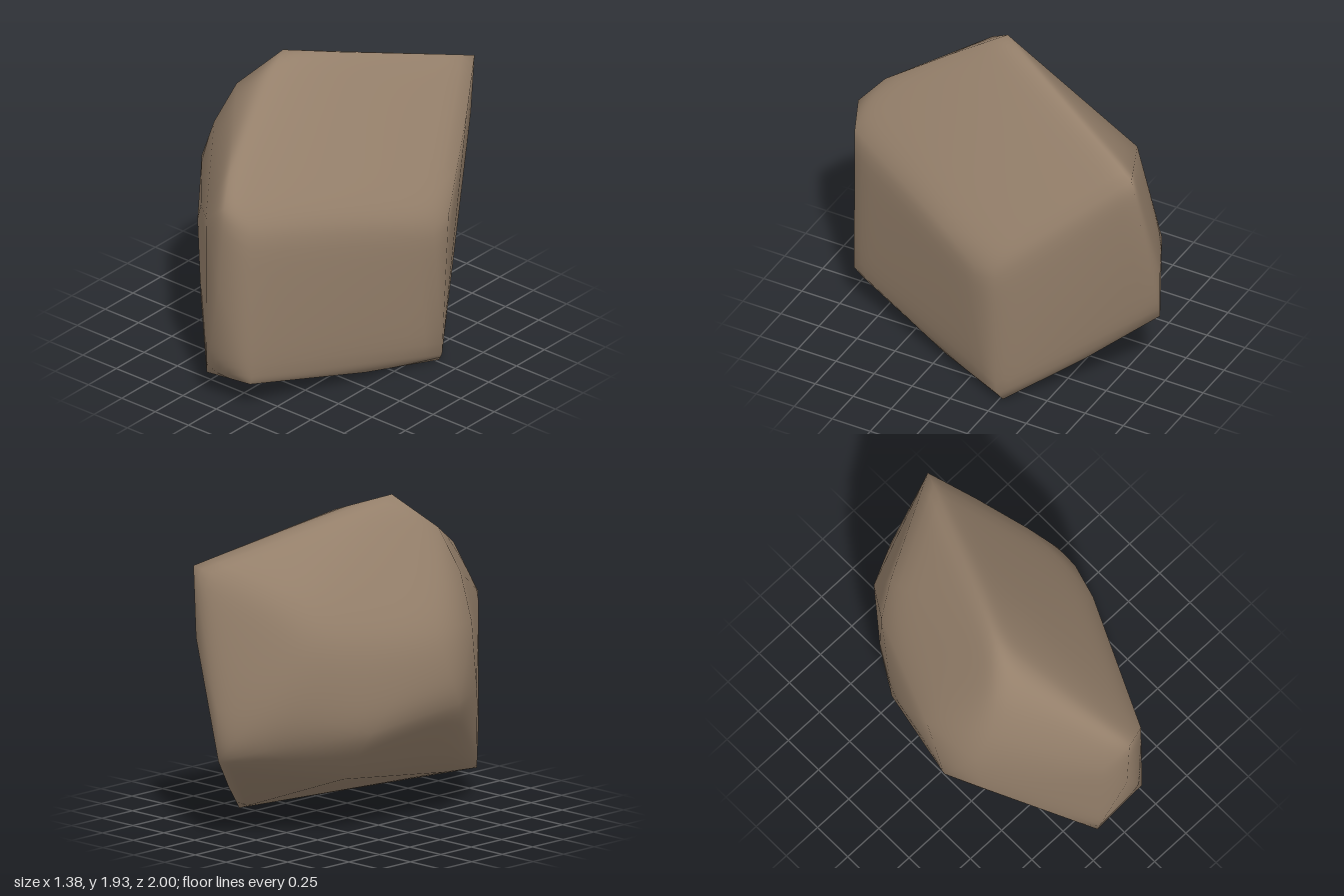
import * as THREE from 'three';
import { ConvexGeometry } from 'three/addons/geometries/ConvexGeometry.js';

// Corners of the boulder, grouped by ridge
const ridges = [
  // crest, from the rear corner over the peak to the brow
  [[0.31, 1.61, -0.95], [0.1, 1.77, -0.4], [-0.03, 1.86, -0.13], [-0.21, 1.93, 0.15], [-0.12, 1.73, 0.48], [-0.02, 1.49, 0.85], [0.04, 1.77, 0.1], [0.04, 1.57, 0.6]],
  // blunt front edge
  [[0.05, 1.33, 0.99], [0.2, 1.24, 0.93], [0.02, 0.8, 1], [0.21, 0.26, 0.93], [0.17, 0.18, 0.9], [-0.14, 0.16, 0.92], [-0.12, 1.2, 0.95]],
  // +x edge, from shoulder to foot
  [[0.69, 0.98, -0.26], [0.69, 0.96, -0.12], [0.6, 1.08, 0.12], [0.65, 0.06, -0.25], [0.61, 0, -0.27], [0.45, 0.06, 0.2]],
  // rear edge
  [[0.6, 1.17, -0.42], [0.46, 1.38, -0.7], [0.25, 1.2, -0.99], [0.06, 0.8, -1], [0.06, 0.5, -1], [0.32, 0.24, -0.65], [-0.2, 0.85, -0.87], [-0.15, 0.57, -0.85]],
  // -x side
  [[-0.25, 1.4, -0.68], [-0.4, 1.2, -0.6], [-0.42, 0.76, -0.59], [-0.55, 0.66, -0.36], [-0.66, 1.2, 0.05], [-0.69, 0.76, 0.22], [-0.6, 0.8, 0.45], [-0.61, 1.2, 0.4], [-0.5, 1.47, 0.42], [-0.39, 1.73, 0.35], [-0.35, 1.1, 0.72], [-0.35, 0.5, 0.72]],
  // underside
  [[-0.2, 0.2, 0.6], [-0.37, 0.35, 0.35], [-0.58, 0.58, 0.32], [-0.3, 0.34, -0.34], [-0.1, 0.35, -0.5]],
];

// Triangles of the faceted block
function facets() {
  const points = ridges.flat().map((p) => new THREE.Vector3(...p));
  const pos = new ConvexGeometry(points).attributes.position;
  const list = [];
  for (let i = 0; i < pos.count; i += 3) {
    const corners = [0, 1, 2].map((k) => new THREE.Vector3().fromBufferAttribute(pos, i + k));
    const tri = new THREE.Triangle(...corners);
    const area = tri.getArea();
    if (area < 1e-6) continue;
    const normal = tri.getNormal(new THREE.Vector3());
    list.push({ corners, normal, distance: normal.dot(tri.a), weight: Math.sqrt(area) });
  }
  return list;
}

// Each facet is cut into a fine grid, whose normals blend across worn edges
function boulderGeometry(steps = 12) {
  const planes = facets();
  const positions = [];
  const normals = [];
  const p = new THREE.Vector3();
  const n = new THREE.Vector3();
  for (const { corners: [a, b, c] } of planes) {
    const addPoint = (i, j) => {
      p.copy(a).multiplyScalar(steps - i - j).addScaledVector(b, i).addScaledVector(c, j).divideScalar(steps);
      n.set(0, 0, 0);
      for (const plane of planes) {
        const gap = plane.distance - plane.normal.dot(p);
        n.addScaledVector(plane.normal, plane.weight * Math.exp(-gap / 0.04));
      }
      n.normalize();
      positions.push(p.x, p.y, p.z);
      normals.push(n.x, n.y, n.z);
    };
    for (let i = 0; i < steps; i++) {
      for (let j = 0; j < steps - i; j++) {
        addPoint(i, j); addPoint(i + 1, j); addPoint(i, j + 1);
        if (i + j < steps - 1) {
          addPoint(i + 1, j); addPoint(i + 1, j + 1); addPoint(i, j + 1);
        }
      }
    }
  }
  const geometry = new THREE.BufferGeometry();
  geometry.setAttribute('position', new THREE.Float32BufferAttribute(positions, 3));
  geometry.setAttribute('normal', new THREE.Float32BufferAttribute(normals, 3));
  return geometry;
}

export function createModel() {
  const stone = new THREE.MeshStandardMaterial({ color: 0x947f6a });
  stone.name = 'brownStone';
  const boulder = new THREE.Mesh(boulderGeometry(), stone);
  boulder.name = 'boulder';
  const model = new THREE.Group();
  model.name = 'rock';
  model.add(boulder);
  return model;
}
